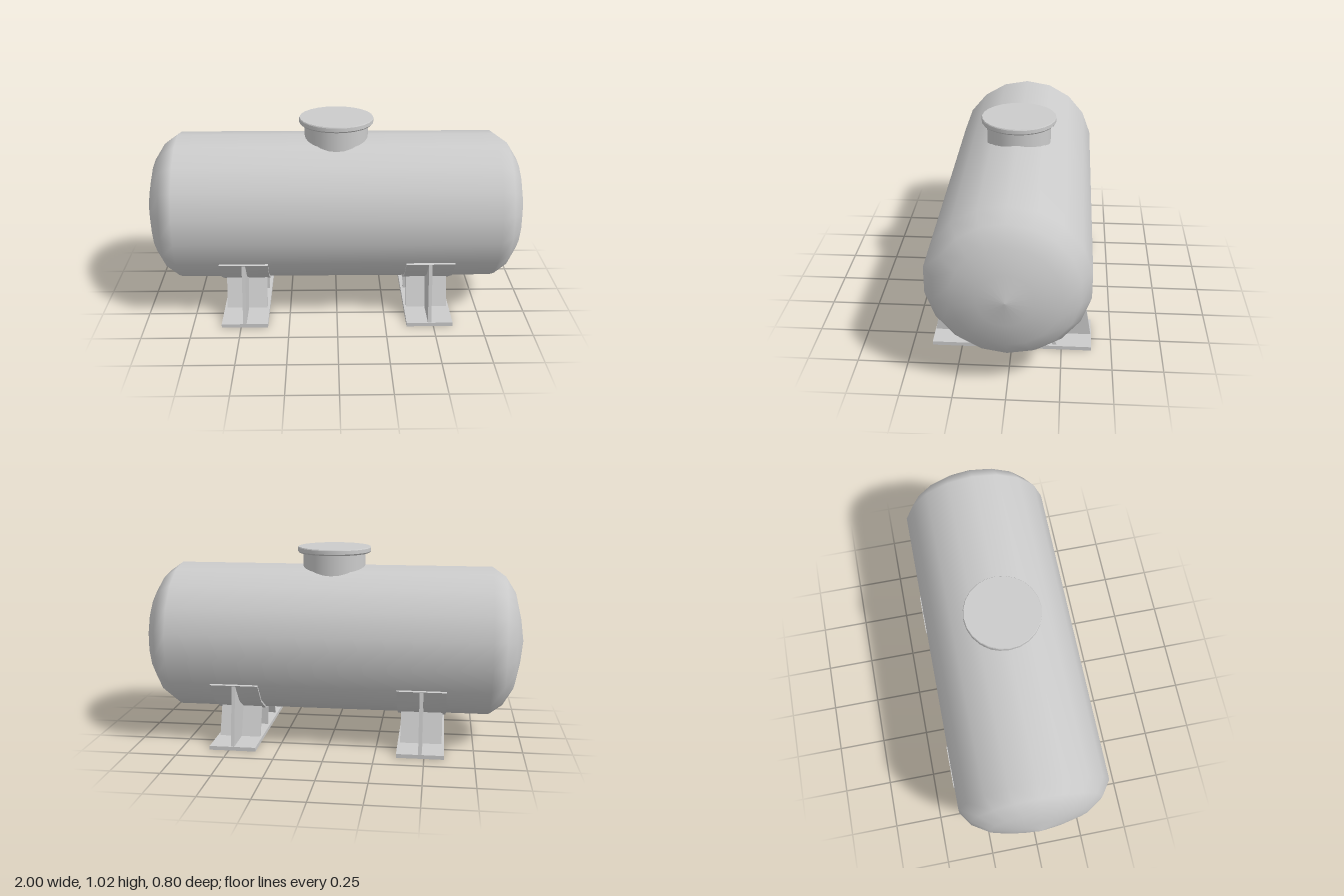
import * as THREE from 'three';
import { toCreasedNormals } from 'three/addons/utils/BufferGeometryUtils.js';

const AXIS_Y = 0.53;
const RADIUS = 0.39;
const material = new THREE.MeshStandardMaterial({ color: 0xcccccc });

function part(name, geometry, parent) {
  const mesh = new THREE.Mesh(geometry, material);
  mesh.name = name;
  parent.add(mesh);
  return mesh;
}

const vec = ([x, y]) => new THREE.Vector2(x, y);

// Plate with a (z, y) outline, given a thickness along x and centred on x = 0
function plate(points, thickness) {
  const geometry = new THREE.ExtrudeGeometry(new THREE.Shape(points.map(vec)), {
    depth: thickness,
    bevelEnabled: false,
  });
  geometry.translate(0, 0, -thickness / 2);
  return geometry.rotateY(-Math.PI / 2);
}

// Point (z, y) around the tank axis, angle in degrees from straight down
function around(radius, degrees) {
  const a = THREE.MathUtils.degToRad(degrees);
  return [radius * Math.sin(a), AXIS_Y - radius * Math.cos(a)];
}

function createSaddle(name) {
  const saddle = new THREE.Group();
  saddle.name = name;

  const base = part('basePlate', new THREE.BoxGeometry(0.24, 0.02, 0.8), saddle);
  base.position.y = 0.01;

  // Curved pad that cradles the tank
  const angles = [-60, -40, -20, 0, 20, 40, 60];
  const pad = [
    ...angles.map((a) => around(RADIUS + 0.01, a)),
    ...angles.map((a) => around(RADIUS - 0.004, a)).reverse(),
  ];
  part('cradlePad', toCreasedNormals(plate(pad, 0.25), 0.6), saddle);

  // Outer web and leaning rib on each side
  for (const side of [1, -1]) {
    const mirror = (points) => points.map(([z, y]) => [z * side, y]);
    const web = [
      [0.215, 0.02], [0.397, 0.02], around(0.397, 60), around(0.397, 40), [0.16, 0.168],
    ];
    part('web', plate(mirror(web), 0.018), saddle);
    const rib = [[0.205, 0.02], [0.226, 0.02], [0.17, 0.173], [0.15, 0.163]];
    part('leaningRib', plate(mirror(rib), 0.215), saddle);
  }

  // Upright rib under the middle of the tank
  const middle = part('middleRib', new THREE.BoxGeometry(0.215, 0.115, 0.018), saddle);
  middle.position.y = 0.0775;
  return saddle;
}

export function createModel() {
  const model = new THREE.Group();
  model.name = 'storageTank';

  // Tank shell with domed ends, turned to lie along x
  const dome = [[0, 1], [0.13, 0.98], [0.255, 0.95], [0.34, 0.896], [RADIUS, 0.825]];
  const profile = [...dome.map(([r, x]) => [r, -x]), ...dome.slice().reverse()];
  const shell = new THREE.LatheGeometry(profile.map(vec), 18, Math.PI / 2);
  shell.rotateZ(-Math.PI / 2);
  part('tankShell', shell, model).position.y = AXIS_Y;

  // Manhole neck and its closed lid
  const manhole = new THREE.Group();
  manhole.name = 'manhole';
  model.add(manhole);
  const neck = new THREE.CylinderGeometry(0.165, 0.165, 0.15, 24);
  part('neck', neck, manhole).position.y = 0.92;
  const lid = [[0, 0.985], [0.187, 0.985], [0.193, 0.992], [0.193, 1.011], [0.19, 1.016], [0, 1.016]];
  part('lid', toCreasedNormals(new THREE.LatheGeometry(lid.map(vec), 24), 0.5), manhole);

  // Two supports
  for (const [name, x] of [['leftSaddle', 0.48], ['rightSaddle', -0.48]]) {
    const saddle = createSaddle(name);
    saddle.position.x = x;
    model.add(saddle);
  }
  return model;
}
